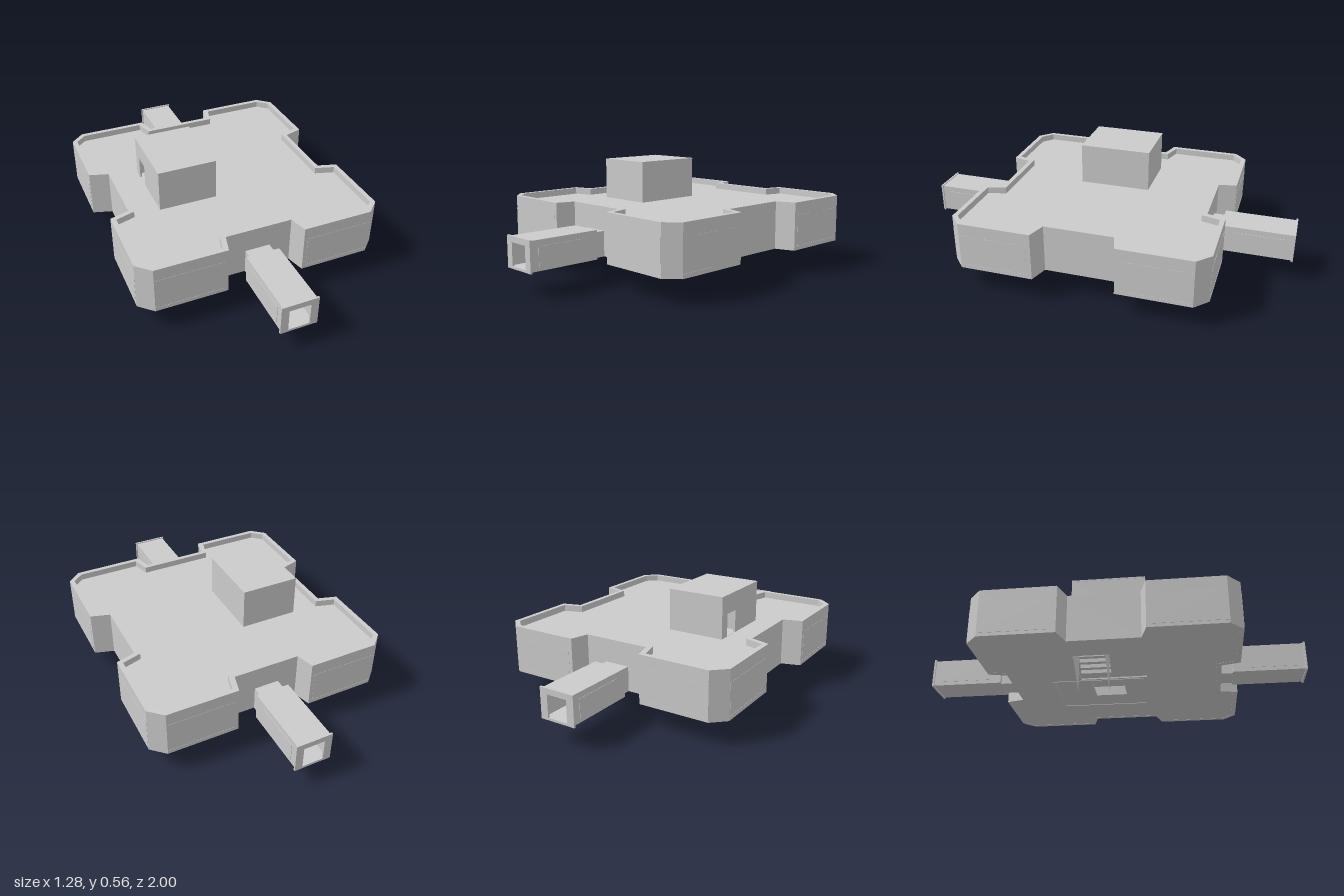
import * as THREE from 'three';

const material = new THREE.MeshStandardMaterial({ color: 0xcccccc, flatShading: true, side: THREE.DoubleSide });

function add(parent, name, geometry, x = 0, y = 0, z = 0) {
  const mesh = new THREE.Mesh(geometry, material);
  mesh.name = name;
  mesh.position.set(x, y, z);
  parent.add(mesh);
  return mesh;
}

// Box given by its lower and upper limits on each axis
function block(parent, name, [x0, x1], [y0, y1], [z0, z1]) {
  return add(parent, name, new THREE.BoxGeometry(x1 - x0, y1 - y0, z1 - z0),
    (x0 + x1) / 2, (y0 + y1) / 2, (z0 + z1) / 2);
}

const points = list => list.map(([x, y]) => new THREE.Vector2(x, y));
const rect = (x0, x1, y0, y1) => points([[x0, y0], [x1, y0], [x1, y1], [x0, y1]]);

function extrude(outer, holes, depth) {
  const shape = new THREE.Shape(outer);
  shape.holes = holes.map(h => new THREE.Path(h));
  return new THREE.ExtrudeGeometry(shape, { depth, bevelEnabled: false });
}

// Horizontal slab or ring; the plan's y axis runs towards -z
const slab = (outer, holes, height) => extrude(outer, holes, height).rotateX(-Math.PI / 2);

// Notched plan with cut corners, moved inwards by t
function plan(t) {
  const q = [
    [0.54 - t, 0.18 + 0.75 * t], [0.64 - t, 0.21 + 0.75 * t],
    [0.64 - t, 0.59 - 0.41 * t], [0.57 - 0.41 * t, 0.655 - t],
    [0.2 + 0.9 * t, 0.655 - t], [0.175 + 0.9 * t, 0.56 - t],
  ];
  const r = [...q].reverse();
  return points([
    ...q, ...r.map(([x, y]) => [-x, y]),
    ...q.map(([x, y]) => [-x, -y]), ...r.map(([x, y]) => [x, -y]),
  ]);
}

// Entrance passage pointing to +z
function passage(name) {
  const g = new THREE.Group();
  g.name = name;
  const doorway = rect(-0.055, 0.055, 0.127, 0.24);
  add(g, 'neck', extrude(rect(-0.065, 0.065, 0.122, 0.25), [doorway], 0.08), 0, 0, 0.545);
  add(g, 'passageBackFrame', extrude(rect(-0.0875, 0.0875, 0.12, 0.265), [doorway], 0.01), 0, 0, 0.62);
  add(g, 'passageTube', extrude(rect(-0.0875, 0.0875, 0.12, 0.265), [rect(-0.077, 0.077, 0.126, 0.255)], 0.365), 0, 0, 0.628);
  add(g, 'entranceFrame', extrude(rect(-0.095, 0.095, 0.115, 0.27), [doorway], 0.01), 0, 0, 0.99);
  for (const s of [-1, 1])
    block(g, 'passageSidePanel', [s * 0.0885 - 0.001, s * 0.0885 + 0.001], [0.14, 0.235], [0.68, 0.95]);
  // Half-open sliding door with a small knob
  block(g, 'doorLeaf', [-0.055, -0.025], [0.127, 0.24], [0.6, 0.608]);
  add(g, 'doorKnob', new THREE.SphereGeometry(0.004, 8, 6), -0.037, 0.18, 0.611);
  g.position.x = -0.004;
  return g;
}

export function createModel() {
  const model = new THREE.Group();
  model.name = 'building';

  // Main body: outer wall with low parapet, floor with openings, flat roof
  const body = new THREE.Group();
  body.name = 'body';
  model.add(body);
  add(body, 'outerWall', slab(plan(0), [plan(0.025)], 0.248), 0, 0.122, 0);
  add(body, 'floor', slab(plan(0.02), [rect(-0.37, -0.07, -0.17, 0.18), rect(-0.03, 0.16, -0.04, 0.13)], 0.008), 0, 0.123, 0);
  add(body, 'roof', slab(plan(0.02), [rect(-0.37, -0.08, -0.18, 0.18)], 0.012), 0, 0.324, 0);
  add(body, 'floorTrim', slab(rect(-0.06, 0.31, -0.15, 0.34), [rect(-0.05, 0.3, -0.14, 0.33)], 0.004), 0, 0.12, 0);

  // Shallow panels and sills on the corner blocks
  for (const sx of [-1, 1]) for (const sz of [-1, 1]) {
    add(body, 'wallPanel', new THREE.BoxGeometry(0.35, 0.163, 0.004), sx * 0.395, 0.224, sz * 0.654);
    add(body, 'wallPanel', new THREE.BoxGeometry(0.004, 0.163, 0.35), sx * 0.639, 0.224, sz * 0.41);
    add(body, 'panelSill', new THREE.BoxGeometry(0.35, 0.005, 0.006), sx * 0.395, 0.142, sz * 0.654);
    add(body, 'panelSill', new THREE.BoxGeometry(0.006, 0.005, 0.35), sx * 0.639, 0.142, sz * 0.41);
  }

  // Stair house on the roof, with a doorway in its -x wall
  const tower = new THREE.Group();
  tower.name = 'stairHouse';
  model.add(tower);
  block(tower, 'towerRightWall', [-0.08, -0.07], [0.325, 0.55], [-0.19, 0.19]);
  for (const s of [-1, 1])
    block(tower, 'towerSideWall', [-0.375, -0.07], [0.325, 0.55], [s * 0.185 - 0.005, s * 0.185 + 0.005]);
  add(tower, 'towerDoorWall',
    extrude(rect(-0.19, 0.19, 0.325, 0.55), [rect(-0.135, -0.05, 0.337, 0.455)], 0.01).rotateY(-Math.PI / 2), -0.367, 0, 0);
  block(tower, 'towerRoof', [-0.378, -0.069], [0.547, 0.555], [-0.191, 0.191]);

  // Stairs from the tower doorway down through the body
  const stairs = new THREE.Group();
  stairs.name = 'stairs';
  model.add(stairs);
  const stringer = new THREE.Shape(points([[-0.37, 0.125], [-0.19, 0], [-0.19, 0.214], [-0.37, 0.334]]));
  for (const z of [-0.175, -0.015])
    add(stairs, 'stringer', new THREE.ShapeGeometry(stringer), 0, 0, z);
  const steps = 10, run = 0.27 / steps, rise = 0.2 / steps;
  for (let i = 0; i < steps; i++) {
    const x = -0.37 + i * run, y = 0.334 - i * rise;
    block(stairs, 'step', [x, x + run], [y - rise, y], [-0.174, -0.016]);
  }

  // Front and back entrances
  const front = passage('frontPassage');
  const back = passage('backPassage');
  back.rotation.y = Math.PI;
  model.add(front, back);
  return model;
}
